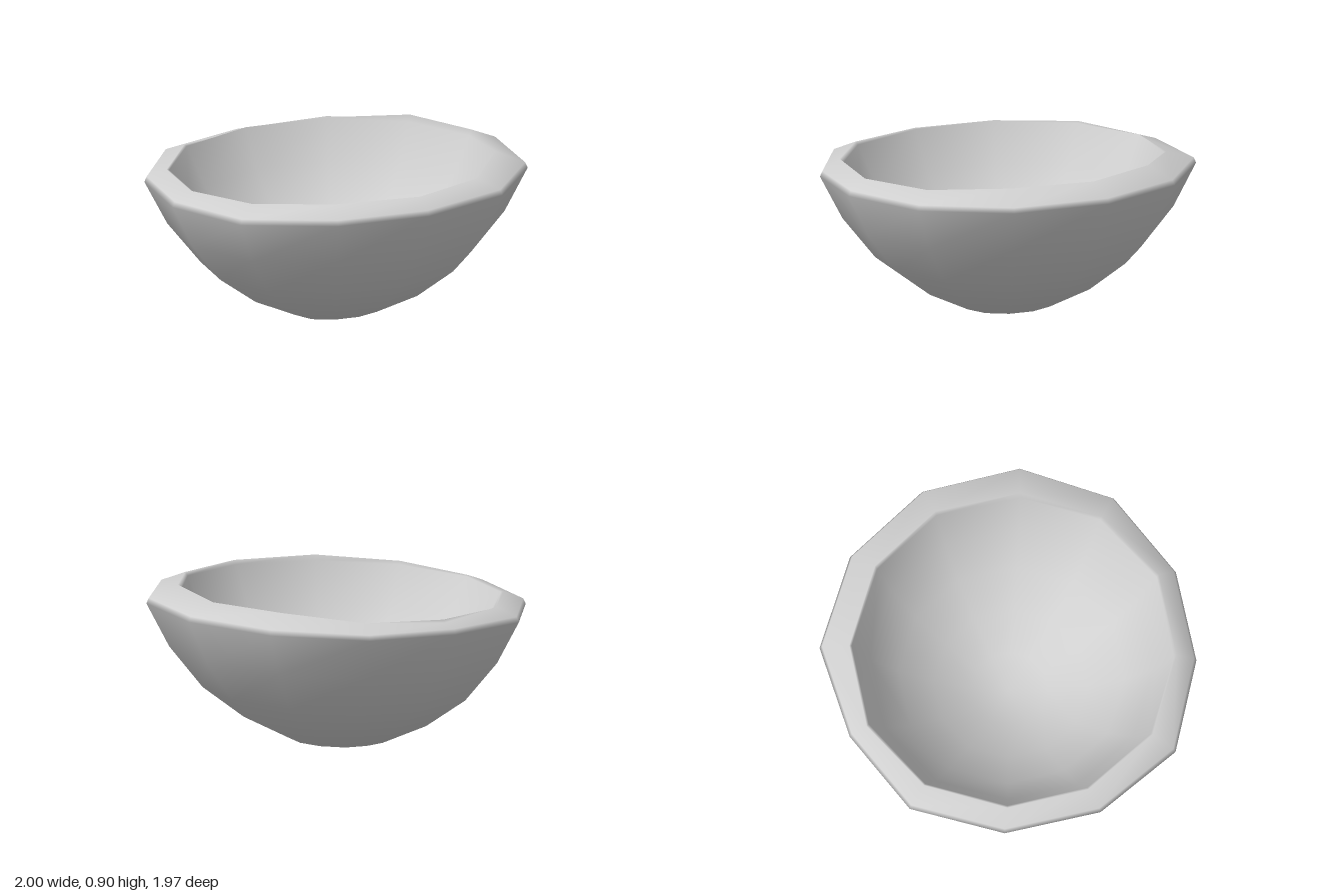
import * as THREE from 'three';

// Uneven twelve-sided rim outlines, clockwise from the back: [x, z]
const OUTER = [[0.15, -0.99], [0.63, -0.76], [0.94, -0.33], [1.0, 0.2], [0.77, 0.67], [0.32, 0.94],
  [-0.18, 0.98], [-0.67, 0.8], [-0.95, 0.36], [-1.0, -0.16], [-0.8, -0.64], [-0.36, -0.9]];
// Inner lip: [x, z, height]
const INNER = [[0.12, -0.835, 0.855], [0.53, -0.64, 0.9], [0.79, -0.28, 0.9], [0.83, 0.18, 0.9],
  [0.65, 0.59, 0.87], [0.29, 0.845, 0.855], [-0.17, 0.875, 0.845], [-0.585, 0.69, 0.82],
  [-0.84, 0.31, 0.805], [-0.885, -0.13, 0.808], [-0.705, -0.55, 0.825], [-0.33, -0.805, 0.82]];

// Outside and inside profiles: [share of the outline, height before tilting]
const OUTSIDE = [[0.25, 0.045], [0.49, 0.16], [0.705, 0.32], [0.88, 0.54], [1, 0.773]];
const INSIDE = [[0.985, 0.835], [0.865, 0.627], [0.69, 0.445], [0.47, 0.3], [0.235, 0.2]];

// The whole bowl leans: higher towards the right-hand back
const tilt = (x, z) => 0.037 * x - 0.015 * z;

function bowlGeometry() {
  const n = OUTER.length;
  const ring = (outline, f, y) => outline.map(([x, z]) => [x * f, y + tilt(x * f, z * f), z * f]);
  const rings = [
    // outer wall
    ...OUTSIDE.map(([f, y]) => ring(OUTER, f, y)),
    // narrow bevel, then the sloping top of the rim
    ring(OUTER, 0.987, 0.802),
    INNER.map(([x, z, y]) => [x, y, z]),
    // inner wall, an even thickness from the outer one
    ...INSIDE.map(([f, y]) => ring(INNER, f, y)),
  ];
  const points = rings.flat();
  const bottom = points.push([0.01, 0, 0.01]) - 1;
  const well = points.push([0, 0.165, 0]) - 1;
  const index = [];
  const last = (rings.length - 1) * n;
  for (let i = 0; i < n; i++) {
    const k = (i + 1) % n;
    index.push(bottom, i, k, well, last + k, last + i);
    for (let r = 0; r < last; r += n) {
      index.push(r + i, r + n + i, r + k, r + k, r + n + i, r + n + k);
    }
  }
  const geometry = new THREE.BufferGeometry();
  geometry.setAttribute('position', new THREE.Float32BufferAttribute(points.flat(), 3));
  geometry.setIndex(index);
  geometry.computeVertexNormals();
  return geometry;
}

export function createModel() {
  const group = new THREE.Group();
  group.name = 'bowlModel';
  const material = new THREE.MeshStandardMaterial({ color: 0xcfcfcf });
  material.name = 'light grey';
  const bowl = new THREE.Mesh(bowlGeometry(), material);
  bowl.name = 'bowl';
  group.add(bowl);
  return group;
}
